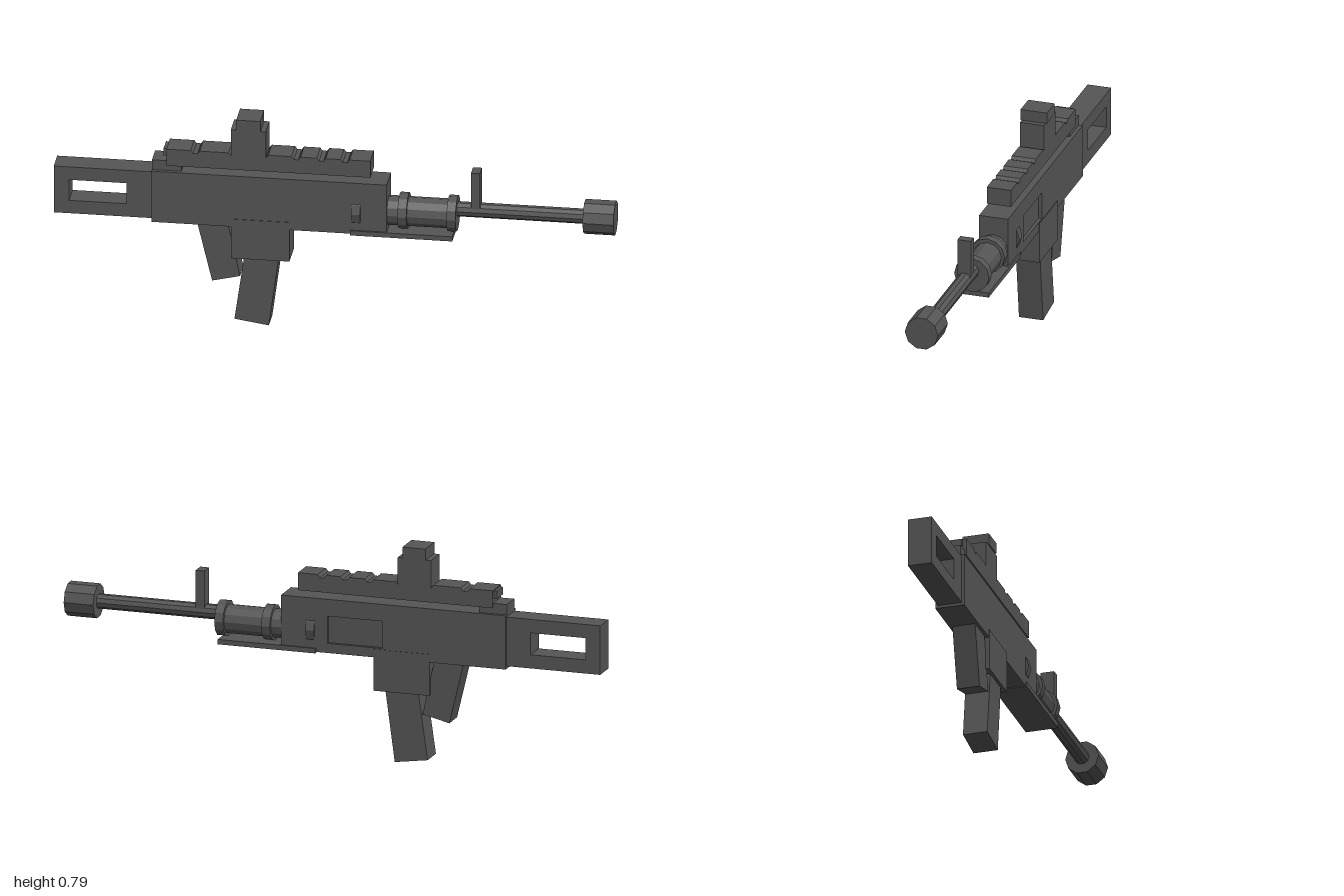
import * as THREE from 'three';

export function createModel() {
  const model = new THREE.Group();
  const material = new THREE.MeshStandardMaterial({ color: 0x555555, flatShading: true });

  function add(name, geometry) {
    const mesh = new THREE.Mesh(geometry, material);
    mesh.name = name;
    model.add(mesh);
    return mesh;
  }

  // Box given by its x, y and z ranges
  function box(name, x0, x1, y0, y1, z0, z1) {
    const mesh = add(name, new THREE.BoxGeometry(x1 - x0, y1 - y0, z1 - z0));
    mesh.position.set((x0 + x1) / 2, (y0 + y1) / 2, (z0 + z1) / 2);
  }

  // Side profile in x, y extruded from z0 to z1, with optional holes
  function plate(name, points, z0, z1, holes = []) {
    const toVectors = (list) => list.map(([x, y]) => new THREE.Vector2(x, y));
    const shape = new THREE.Shape(toVectors(points));
    for (const hole of holes) shape.holes.push(new THREE.Path(toVectors(hole)));
    const geometry = new THREE.ExtrudeGeometry(shape, { depth: z1 - z0, bevelEnabled: false });
    add(name, geometry.translate(0, 0, z0));
  }

  const rect = (x0, x1, y0, y1) => [[x0, y0], [x1, y0], [x1, y1], [x0, y1]];

  // Cylinder lying along x, with a corner on the z axis
  function rod(name, x0, x1, y, radius, sides) {
    const geometry = new THREE.CylinderGeometry(radius, radius, x1 - x0, sides);
    geometry.rotateZ(Math.PI / 2);
    add(name, geometry).position.set((x0 + x1) / 2, y, 0);
  }

  // Stock with its window
  plate('stock', rect(-1, -0.65, 0.39, 0.57), -0.044, 0.044, [rect(-0.945, -0.74, 0.44, 0.52)]);

  // Receiver, with a shallow port in its back side
  box('receiver', -0.65, 0.19, 0.38, 0.577, -0.042, 0.054);
  plate('portSide', rect(-0.65, 0.19, 0.38, 0.577), -0.054, -0.042, [rect(-0.19, 0.017, 0.415, 0.515)]);

  // Top rail with notches, carried by a rear block
  box('railBlock', -0.65, -0.545, 0.577, 0.615, -0.04, 0.04);
  box('railEnd', -0.61, -0.595, 0.63, 0.658, -0.03, 0.03);
  const railProfile = [[-0.598, 0.598], [0.13, 0.598], [0.13, 0.662]];
  for (const x of [0.04, -0.045, -0.135, -0.25, -0.36, -0.495]) {
    railProfile.push([x + 0.016, 0.662], [x + 0.008, 0.651], [x - 0.008, 0.651], [x - 0.016, 0.662]);
  }
  railProfile.push([-0.598, 0.662]);
  plate('rail', railProfile, -0.045, 0.045);

  // Sight
  box('sightBase', -0.368, -0.243, 0.65, 0.752, -0.045, 0.045);
  box('sightTop', -0.348, -0.262, 0.752, 0.793, -0.049, 0.049);

  // Magazine well, magazine and grip
  box('magazineWell', -0.365, -0.157, 0.258, 0.41, -0.056, 0.056);
  plate('magazine', [[-0.355, 0.018], [-0.232, 0], [-0.196, 0.27], [-0.319, 0.27]], -0.045, 0.045);
  plate('grip', [[-0.49, 0.39], [-0.435, 0.16], [-0.335, 0.184], [-0.38, 0.39]], -0.042, 0.042);

  // Handguard with rings and an underplate
  rod('handguard', 0.1, 0.43, 0.457, 0.053, 12);
  for (const x of [0.08, 0.245, 0.42]) rod('handguardRing', x - 0.016, x + 0.016, 0.459, 0.065, 12);
  box('underplate', 0.06, 0.425, 0.376, 0.394, -0.06, 0.06);

  // Barrel, muzzle and front sight
  rod('barrel', 0.42, 0.9, 0.477, 0.027, 10);
  rod('muzzle', 0.89, 1, 0.477, 0.062, 10);
  box('frontSight', 0.487, 0.519, 0.49, 0.63, -0.025, 0.025);

  return model;
}
